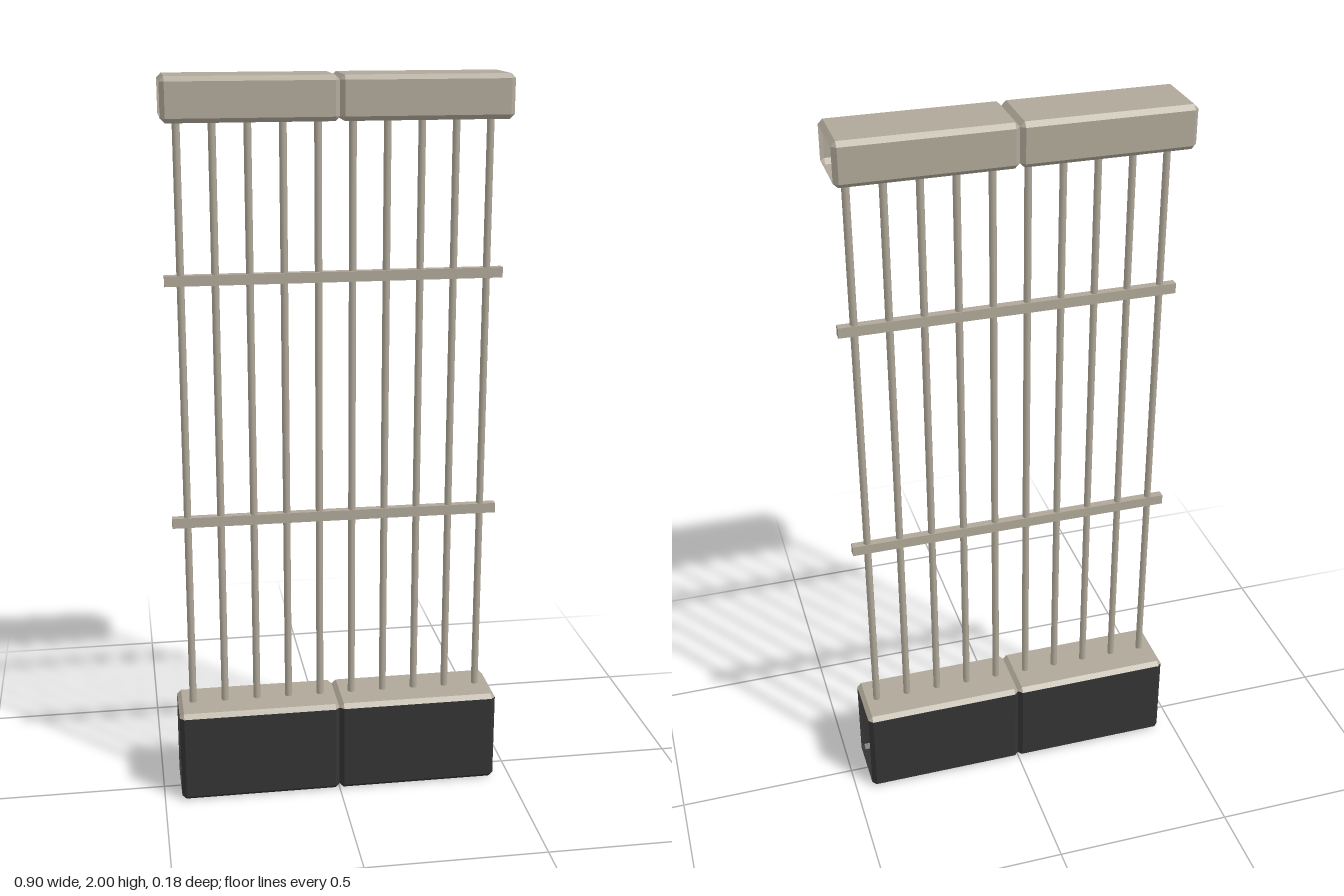
import * as THREE from 'three';

const beige = new THREE.MeshStandardMaterial({ color: 0xb0a899, side: THREE.DoubleSide });
beige.name = 'beigeStone';
const dark = new THREE.MeshStandardMaterial({ color: 0x343434, side: THREE.DoubleSide });
dark.name = 'darkBase';

const LENGTH = 0.452, DEPTH = 0.09, BEVEL = 0.012;

// Hollow chamfered block from x = 0 (closed) to x = side * LENGTH (open).
// Group 0 is the top with its chamfers, group 1 is everything else.
function blockGeometry(side, y0, y1) {
  const h = (y1 - y0) / 2, cy = (y0 + y1) / 2, b = BEVEL;
  const corners = [[1, 1], [-1, 1], [-1, -1], [1, -1]]; // z, y signs
  const ring = (x, inset) => corners.flatMap(([sz, sy], i) => {
    const tall = [sz * (DEPTH - inset), cy + sy * (h - b)];
    const wide = [sz * (DEPTH - b), cy + sy * (h - inset)];
    const pair = i % 2 ? [wide, tall] : [tall, wide];
    return pair.map(([z, y]) => new THREE.Vector3(side * x, y, z));
  });
  const rings = [ring(0, b), ring(b, 0), ring(LENGTH - b, 0), ring(LENGTH, b)];
  const centre = new THREE.Vector3(side * LENGTH / 2, cy, 0);
  const top = [], body = [];

  // Adds a triangle turned away from the block centre
  const tri = (out, p, q, r) => {
    const n = q.clone().sub(p).cross(r.clone().sub(p));
    if (n.length() < 1e-9) return;
    const outward = n.dot(p.clone().sub(centre)) > 0;
    for (const v of outward ? [p, q, r] : [p, r, q]) out.push(v.x, v.y, v.z);
  };
  const quad = (out, p, q, r, s) => { tri(out, p, q, r); tri(out, p, r, s); };

  for (let k = 0; k < 3; k++) {
    for (let i = 0; i < 8; i++) {
      const j = (i + 1) % 8;
      quad(i < 3 ? top : body, rings[k][i], rings[k][j], rings[k + 1][j], rings[k + 1][i]);
    }
  }
  // Inner end wall
  quad(body, rings[0][0], rings[0][2], rings[0][4], rings[0][6]);

  const g = new THREE.BufferGeometry();
  g.setAttribute('position', new THREE.Float32BufferAttribute([...top, ...body], 3));
  g.addGroup(0, top.length / 3, 0);
  g.addGroup(top.length / 3, body.length / 3, 1);
  g.computeVertexNormals();
  return g;
}

export function createModel() {
  const model = new THREE.Group();
  model.name = 'railingPanel';
  const add = (name, geometry, material, x = 0, y = 0) => {
    const mesh = new THREE.Mesh(geometry, material);
    mesh.name = name;
    mesh.position.set(x, y, 0);
    model.add(mesh);
  };

  // Base and head blocks, a pair of each
  for (const side of [-1, 1]) {
    const label = side > 0 ? 'Left' : 'Right';
    add('baseBlock' + label, blockGeometry(side, 0, 0.265), [beige, dark]);
    add('headBlock' + label, blockGeometry(side, 1.886, 2), [beige, beige]);
  }

  // Upright bars
  const bar = new THREE.CylinderGeometry(0.01, 0.01, 1.64, 8, 1, true);
  for (let i = 0; i < 10; i++) add('uprightBar', bar, beige, (i - 4.5) * 0.091, 1.075);

  // Cross rails
  const rail = new THREE.BoxGeometry(LENGTH * 2, 0.028, 0.022);
  add('lowerRail', rail, beige, 0, 0.807);
  add('upperRail', rail, beige, 0, 1.476);

  return model;
}
